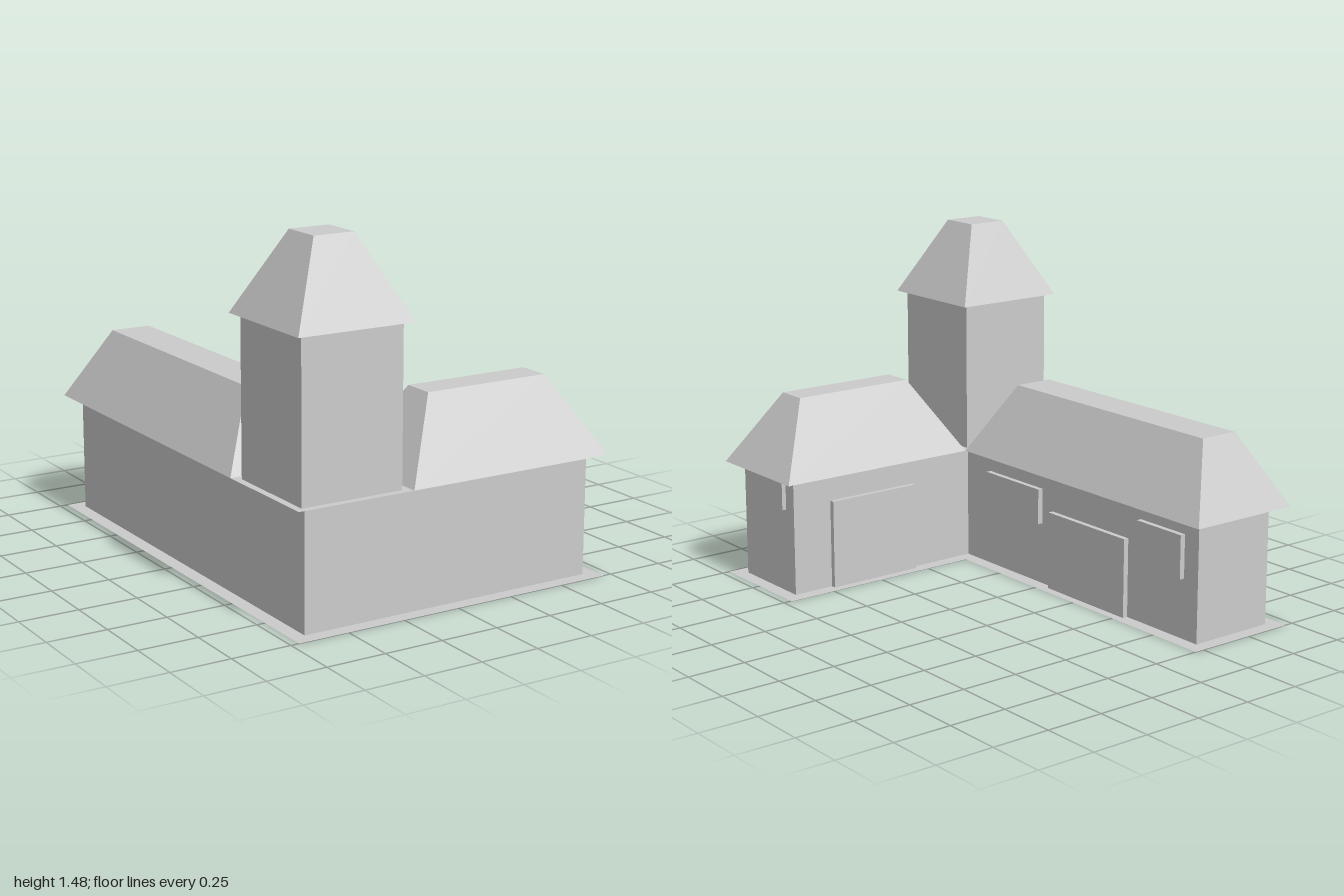
import * as THREE from 'three';

const grey = new THREE.MeshStandardMaterial({ color: 0xcccccc, flatShading: true });
const greyThin = new THREE.MeshStandardMaterial({ color: 0xcccccc, flatShading: true, side: THREE.DoubleSide });

const EAVE = 0.505; // height of the wing walls

// L-shaped footprint; inset pulls every outer and inner edge inwards
function footprint(inset) {
  const x0 = -0.715 + inset, x1 = -0.21 - inset, x2 = 0.715 - inset;
  const z0 = -1 + inset, z1 = 0.495 + inset, z2 = 1 - inset;
  return new THREE.Shape(
    [[x0, z2], [x2, z2], [x2, z1], [x1, z1], [x1, z0], [x0, z0]].map(([x, z]) => new THREE.Vector2(x, -z))
  );
}

// Box given by its limits on each axis
function block([x0, x1], [y0, y1], [z0, z1]) {
  return new THREE.BoxGeometry(x1 - x0, y1 - y0, z1 - z0)
    .translate((x0 + x1) / 2, (y0 + y1) / 2, (z0 + z1) / 2);
}

// Hipped roof with a flat top: a block whose upper corners move in to the ridge
function hipRoof(xs, ys, zs, topX, topZ) {
  const geo = block(xs, ys, zs);
  const p = geo.attributes.position;
  const midX = (xs[0] + xs[1]) / 2, midY = (ys[0] + ys[1]) / 2, midZ = (zs[0] + zs[1]) / 2;
  for (let i = 0; i < p.count; i++) {
    if (p.getY(i) < midY) continue;
    p.setX(i, topX[p.getX(i) > midX ? 1 : 0]);
    p.setZ(i, topZ[p.getZ(i) > midZ ? 1 : 0]);
  }
  geo.computeVertexNormals();
  return geo;
}

export function createModel() {
  const group = new THREE.Group();
  const add = (name, geo, material = grey) => {
    const mesh = new THREE.Mesh(geo, material);
    mesh.name = name;
    group.add(mesh);
  };

  // Ground plate and walls of both wings
  add('groundPlate', new THREE.ShapeGeometry(footprint(0)).rotateX(-Math.PI / 2), greyThin);
  add('walls', new THREE.ExtrudeGeometry(footprint(0.06), { depth: EAVE, bevelEnabled: false }).rotateX(-Math.PI / 2));

  // Wing roofs
  add('longWingRoof', hipRoof([-0.715, -0.21], [EAVE, 0.81], [-1, 0.495], [-0.55, -0.375], [-0.84, 0.33]));
  add('shortWingRoof', hipRoof([-0.21, 0.715], [EAVE, 0.82], [0.495, 1], [-0.025, 0.53], [0.68, 0.815]));

  // Tower on the corner, standing on a thin ledge
  add('towerLedge', new THREE.PlaneGeometry(0.505, 0.505).rotateX(-Math.PI / 2).translate(-0.4625, EAVE, 0.7475), greyThin);
  add('tower', block([-0.685, -0.245], [EAVE, 1.15], [0.53, 0.97]));
  add('towerRoof', hipRoof([-0.715, -0.21], [1.15, 1.478], [0.495, 1], [-0.55, -0.375], [0.66, 0.835]));

  // Doors and windows on the courtyard sides and the short wing's end
  const courtX = [-0.29, -0.247];
  add('longWingDoor', block(courtX, [0, 0.34], [-0.525, -0.04]));
  add('longWingWindowNear', block(courtX, [0.27, 0.425], [0.03, 0.39]));
  add('longWingWindowFar', block(courtX, [0.255, 0.44], [-0.86, -0.6]));
  add('shortWingDoor', block([0.04, 0.47], [0, 0.385], [0.533, 0.57]));
  add('shortWingWindow', block([0.64, 0.674], [0.365, 0.485], [0.615, 0.83]));

  return group;
}
